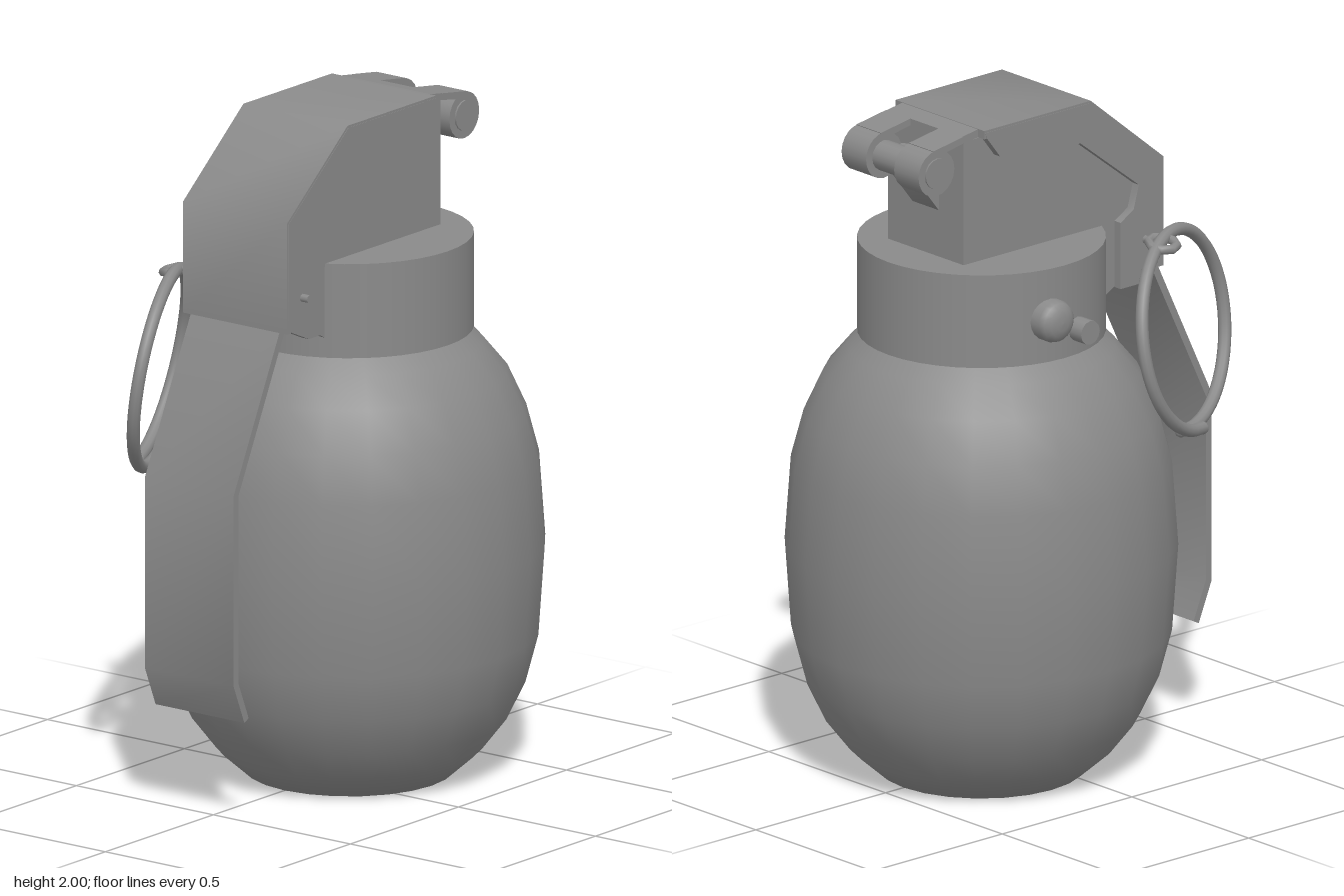
import * as THREE from 'three';
import { toCreasedNormals } from 'three/addons/utils/BufferGeometryUtils.js';

const material = new THREE.MeshStandardMaterial({ color: 0x8a8a8a });
const AXIS_Z = -0.13; // centre line of the body

export function createModel() {
  const model = new THREE.Group();

  const add = (name, geometry, x = 0, y = 0, z = 0) => {
    const mesh = new THREE.Mesh(geometry, material);
    mesh.name = name;
    mesh.position.set(x, y, z);
    model.add(mesh);
    return mesh;
  };

  // Side profile given as [z, y] points, extruded along x, with soft folds
  const plate = (name, points, x0, x1) => {
    const shape = new THREE.Shape(points.map(([z, y]) => new THREE.Vector2(z, y)));
    const geometry = new THREE.ExtrudeGeometry(shape, { depth: x1 - x0, bevelEnabled: false });
    geometry.rotateY(-Math.PI / 2);
    return add(name, toCreasedNormals(geometry, 1), x1, 0, 0);
  };

  // Cylinder lying along x
  const rod = (name, radius, x0, x1, y, z, sides = 16) => {
    const geometry = new THREE.CylinderGeometry(radius, radius, x1 - x0, sides);
    geometry.rotateZ(Math.PI / 2);
    return add(name, geometry, (x0 + x1) / 2, y, z);
  };

  const lathe = (points, sides) =>
    new THREE.LatheGeometry(points.map(([r, y]) => new THREE.Vector2(r, y)), sides);

  // Egg-shaped body with a softly shaded flat base
  add('body', lathe([
    [0, 0], [0.3, 0], [0.385, 0.075], [0.455, 0.165], [0.51, 0.28], [0.547, 0.42], [0.565, 0.68],
    [0.547, 0.93], [0.51, 1.07], [0.455, 1.19], [0.385, 1.275], [0.3, 1.345],
  ], 24), 0, 0, AXIS_Z);

  // Collar, and head block with a lug reaching down in front of it
  add('collar', new THREE.CylinderGeometry(0.357, 0.357, 0.28, 40), 0, 1.46, AXIS_Z);
  plate('headBlock', [
    [-0.345, 1.59], [0.19, 1.59], [0.19, 1.38], [0.235, 1.405], [0.3, 1.41], [0.37, 1.45],
    [0.37, 1.75], [0.105, 1.972], [-0.345, 1.972],
  ], -0.162, 0.162);

  // Folded lever: wide cover over the head
  plate('leverCover', [
    [0.4, 1.44], [0.4, 1.77], [0.12, 2], [-0.29, 2],
    [-0.29, 1.975], [0.11, 1.975], [0.375, 1.757], [0.375, 1.44],
  ], -0.19, 0.19);

  // Long tail of the lever
  plate('leverTail', [
    [0.4, 1.44], [0.612, 1], [0.612, 0.435], [0.562, 0.315],
    [0.542, 0.325], [0.59, 0.44], [0.59, 0.995], [0.375, 1.44],
  ], -0.162, 0.162);

  // Folded side flanges
  const flange = [
    [0.395, 1.448], [0.395, 1.765], [0.117, 1.993], [-0.287, 1.993], [-0.28, 1.975], [-0.23, 1.91],
    [0.08, 1.88], [0.305, 1.705], [0.285, 1.635], [0.235, 1.605], [0.235, 1.405], [0.3, 1.405],
  ];
  plate('leftFlange', flange, 0.165, 0.191);
  plate('rightFlange', flange, -0.191, -0.165);

  // Rear hinge: neck, two hooked arms, knuckles, pin and bracket
  plate('hingeNeck', [[-0.28, 2], [-0.35, 1.989], [-0.35, 1.969], [-0.28, 1.975]], -0.162, 0.162);
  for (const side of [-1, 1]) {
    const [x0, x1] = side < 0 ? [-0.165, -0.06] : [0.06, 0.165];
    plate('hingeArm', [[-0.35, 1.989], [-0.464, 1.971], [-0.455, 1.95], [-0.35, 1.969]], x0, x1);
    rod('hingeKnuckle', 0.069, x0, x1, 1.902, -0.452, 20);
  }
  rod('hingePin', 0.045, -0.17, 0.17, 1.902, -0.452);
  plate('hingeBracket', [
    [-0.33, 1.91], [-0.39, 1.925], [-0.44, 1.9], [-0.42, 1.835], [-0.345, 1.74], [-0.33, 1.74],
  ], -0.056, 0.056);

  // Safety pin with its eye
  rod('safetyPin', 0.012, -0.225, 0.217, 1.535, 0.33, 8);
  const eye = add('pinEye', new THREE.TorusGeometry(0.041, 0.014, 8, 8), -0.265, 1.54, 0.33);
  eye.rotation.set(Math.PI / 2, 0.2, 0);

  // Pull ring: one turn of wire whose ends lie side by side at the bottom
  const center = new THREE.Vector3(-0.272, 1.265, 0.405);
  const v = new THREE.Vector3(0.13, 0.98, -0.1).normalize();
  const n = new THREE.Vector3(0.4, 0, 0.917).cross(v).normalize();
  const u = new THREE.Vector3().crossVectors(v, n);
  const wire = [];
  for (let i = 0; i <= 32; i++) {
    const t = i / 32;
    const a = -Math.PI / 2 - 0.3 + t * (2 * Math.PI + 0.2);
    wire.push(center.clone()
      .addScaledVector(u, 0.29 * Math.cos(a))
      .addScaledVector(v, 0.29 * Math.sin(a))
      .addScaledVector(n, 0.04 * (t - 0.5)));
  }
  add('pullRing', new THREE.TubeGeometry(new THREE.CatmullRomCurve3(wire), 64, 0.019, 10));
  for (const end of [wire[0], wire[32]]) {
    add('ringEnd', new THREE.SphereGeometry(0.019, 10, 8), end.x, end.y, end.z);
  }

  // Rounded knob and small stud on the right of the collar
  const knob = lathe([
    [0.063, 0], [0.063, 0.055], [0.057, 0.072], [0.042, 0.084], [0.022, 0.09], [0, 0.091],
  ], 20);
  add('collarKnob', knob.rotateZ(Math.PI / 2), -0.318, 1.447, -0.182);
  rod('collarStud', 0.036, -0.408, -0.32, 1.397, -0.077, 12);

  return model;
}
